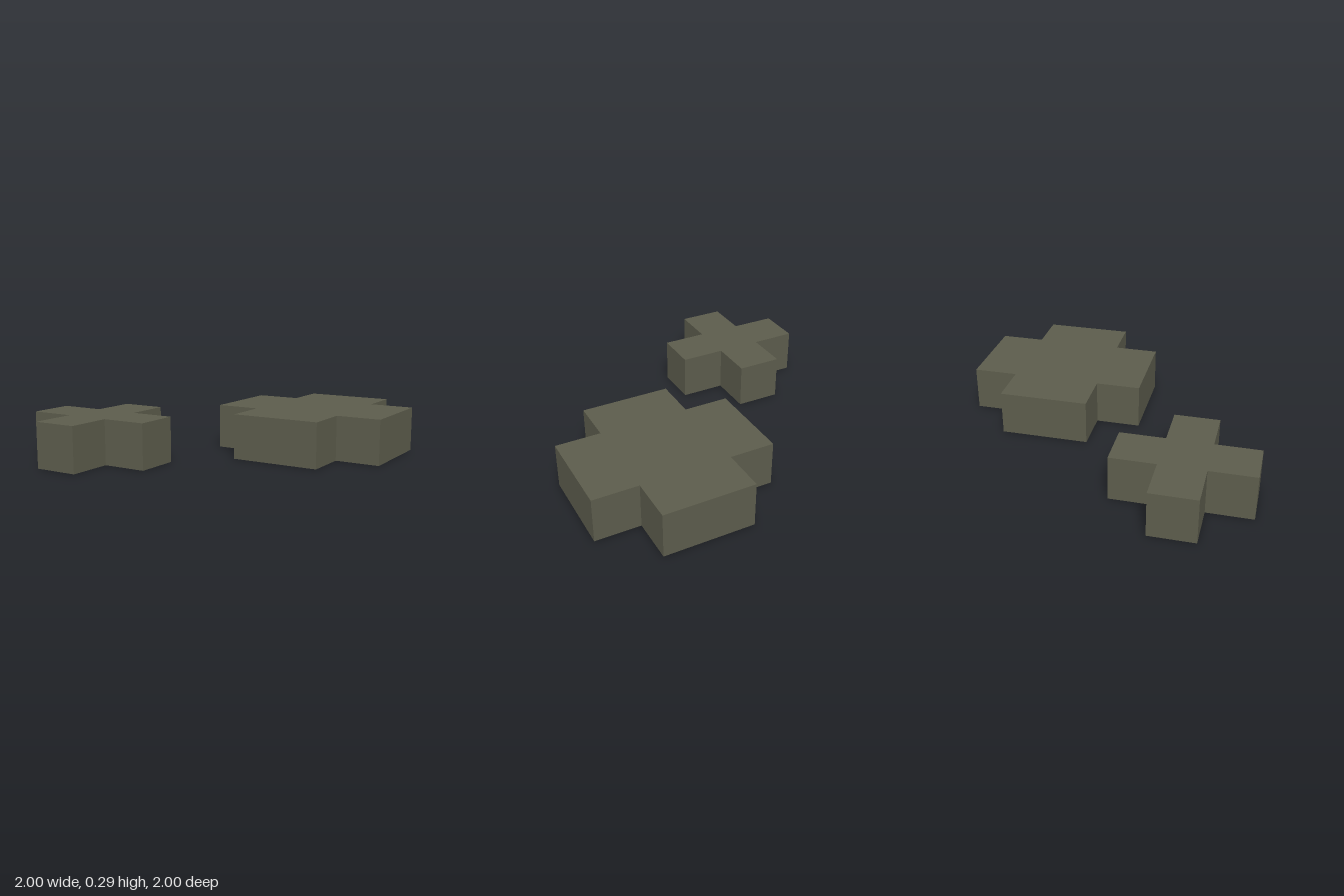
import * as THREE from 'three';

const UNIT = 1 / 7;
const HEIGHT = 2 * UNIT;

// Outline of a plus sign, counter-clockwise: a = half arm width, r = half span
function plusOutline(a, r) {
  const quarter = [[r, -a], [r, a], [a, a]];
  const points = [];
  for (let i = 0; i < 4; i++) {
    for (const [x, y] of quarter) {
      const turns = [[x, y], [-y, x], [-x, -y], [y, -x]];
      points.push(new THREE.Vector2(...turns[i]));
    }
  }
  return points;
}

// Upright walls that follow the outline, one flat quad per edge
function wallGeometry(points) {
  const positions = [];
  points.forEach((p, i) => {
    const q = points[(i + 1) % points.length];
    const p0 = [p.x, 0, -p.y], q0 = [q.x, 0, -q.y];
    const p1 = [p.x, HEIGHT, -p.y], q1 = [q.x, HEIGHT, -q.y];
    positions.push(...p0, ...q0, ...q1, ...p0, ...q1, ...p1);
  });
  const geometry = new THREE.BufferGeometry();
  geometry.setAttribute('position', new THREE.Float32BufferAttribute(positions, 3));
  geometry.computeVertexNormals();
  return geometry;
}

// Plus-shaped shell, open underneath
function plusShell(name, a, r, x, z, material) {
  const points = plusOutline(a, r);
  const top = new THREE.Mesh(
    new THREE.ShapeGeometry(new THREE.Shape(points)).rotateX(-Math.PI / 2), material);
  top.position.y = HEIGHT;
  top.name = name + 'Top';
  const walls = new THREE.Mesh(wallGeometry(points), material);
  walls.name = name + 'Walls';
  const shell = new THREE.Group();
  shell.name = name;
  shell.add(top, walls);
  shell.position.set(x, 0, z);
  return shell;
}

export function createModel() {
  const material = new THREE.MeshStandardMaterial({ color: 0x5c5c4c, side: THREE.DoubleSide });
  material.name = 'olive grey';
  const model = new THREE.Group();
  model.name = 'plusBlocks';
  model.add(
    plusShell('largePlus', 2 * UNIT, 4 * UNIT, 3 * UNIT, -3 * UNIT, material),
    plusShell('smallPlus', UNIT, 3 * UNIT, -4 * UNIT, 4 * UNIT, material));
  return model;
}
